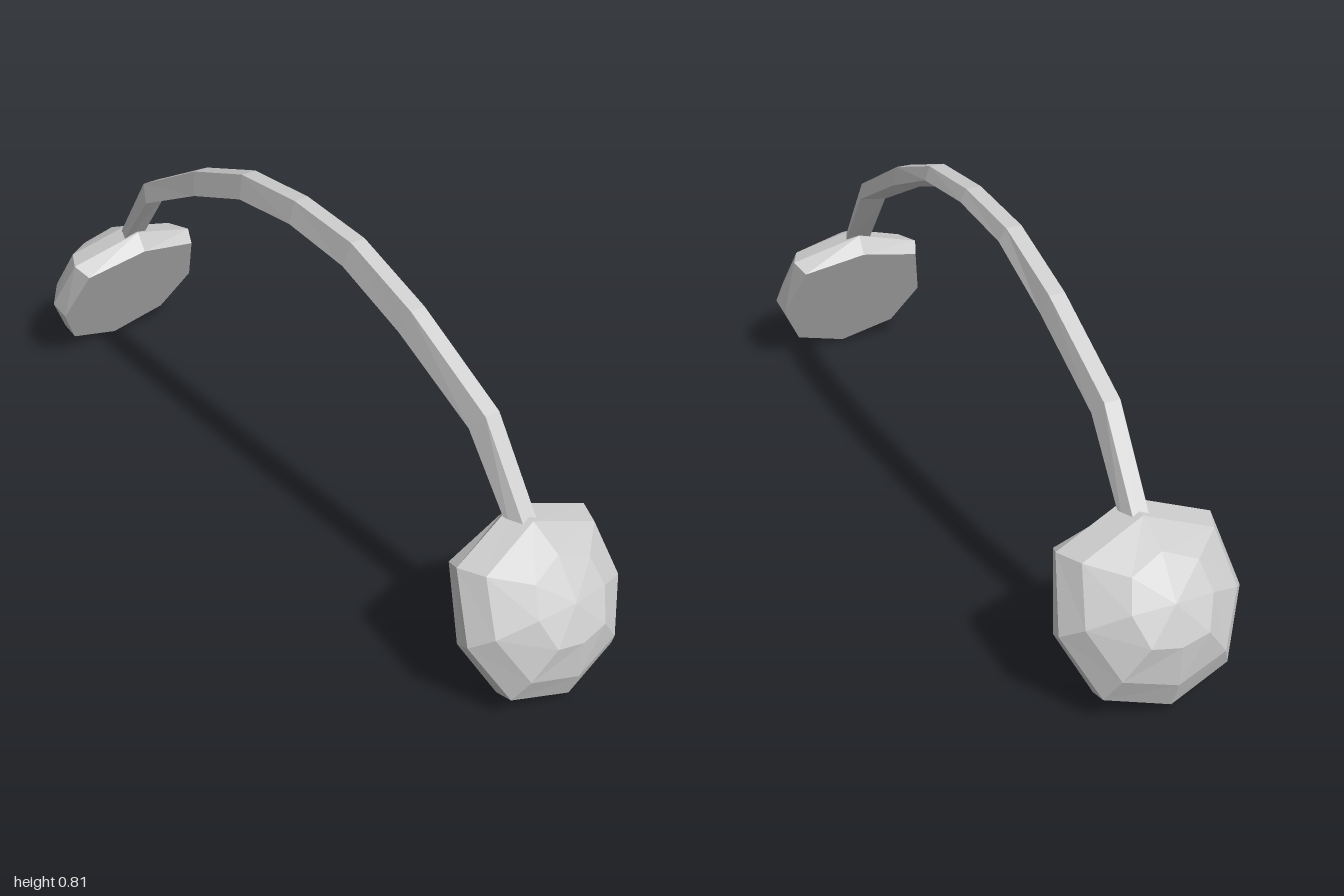
import * as THREE from 'three';

const material = new THREE.MeshStandardMaterial({ color: 0xcccccc, flatShading: true });

// Skins a list of equal-sized rings (counter-clockwise about the loft direction) and caps both ends.
function loft(name, rings) {
  const n = rings[0].length, pos = [];
  const tri = (...points) => points.forEach(p => pos.push(...p));
  for (let r = 0; r < rings.length - 1; r++) {
    const a = rings[r], b = rings[r + 1];
    for (let i = 0; i < n; i++) {
      const j = (i + 1) % n;
      tri(a[i], a[j], b[j]);
      tri(a[i], b[j], b[i]);
    }
  }
  const first = rings[0], last = rings[rings.length - 1];
  const middle = last[0].map((_, k) => last.reduce((s, p) => s + p[k], 0) / n);
  middle[2] += Math.sign(middle[2]) * (name.includes('Cup') ? 0.012 : 0);
  middle[1] += name.includes('Cup') ? 0.006 : 0;
  for (let i = 1; i < n - 1; i++) tri(first[0], first[i + 1], first[i]);
  for (let i = 0; i < n; i++) tri(last[i], last[(i + 1) % n], middle);
  const geometry = new THREE.BufferGeometry();
  geometry.setAttribute('position', new THREE.Float32BufferAttribute(pos, 3));
  geometry.computeVertexNormals();
  const mesh = new THREE.Mesh(geometry, material);
  mesh.name = name;
  return mesh;
}

// Ear cup: half outlines [x, u] from top to bottom at depth d along the tilted cup axis.
const cupRings = [
  { d: 0.803, half: [[0, 0.193], [0.165, 0.15], [0.205, -0.02], [0.145, -0.158], [0, -0.215]] },
  { d: 0.852, half: [[0, 0.218], [0.183, 0.147], [0.215, -0.02], [0.148, -0.168], [0, -0.218]] },
  { d: 0.905, half: [[0, 0.18], [0.155, 0.119], [0.178, -0.013], [0.122, -0.133], [0, -0.172]] },
  { d: 0.955, half: [[0, 0.108], [0.078, 0.073], [0.095, 0], [0.068, -0.076], [0, -0.09]] },
];

function earCup(name, side) {
  const rings = cupRings.map(({ d, half }) => {
    const outline = [
      ...half.map(([x, u]) => [-x, u]),
      ...half.slice(1, -1).reverse(),
    ];
    const ring = outline.map(([x, v]) => {
      const u = v - 0.233;
      return [x, 0.49 * d + 0.87 * u, side * (0.87 * d - 0.49 * u)];
    });
    return side > 0 ? ring : ring.reverse();
  });
  return loft(name, rings);
}

// Headband: [z, y] of the outer face, the right lower edge and the left lower edge.
const bandHalf = [
  [[0.835, 0.345], [0.80, 0.345], [0.795, 0.345]],
  [[0.67, 0.59], [0.645, 0.557], [0.638, 0.55]],
  [[0.42, 0.725], [0.408, 0.682], [0.40, 0.67]],
  [[0.21, 0.80], [0.204, 0.768], [0.20, 0.743]],
];
const bandTop = [[0, 0.817], [0, 0.787], [0, 0.763]];

function headband() {
  const stations = [
    ...bandHalf,
    bandTop,
    ...[...bandHalf].reverse().map(s => s.map(([z, y]) => [-z, y])),
  ];
  return loft('headband', stations.map(([outer, right, left]) => [
    [0.018, outer[1], outer[0]],
    [0.033, right[1], right[0]],
    [-0.036, left[1], left[0]],
    [-0.02, outer[1], outer[0]],
  ]));
}

export function createModel() {
  const group = new THREE.Group();
  group.name = 'headphones';
  group.add(headband(), earCup('frontEarCup', 1), earCup('backEarCup', -1));
  return group;
}
